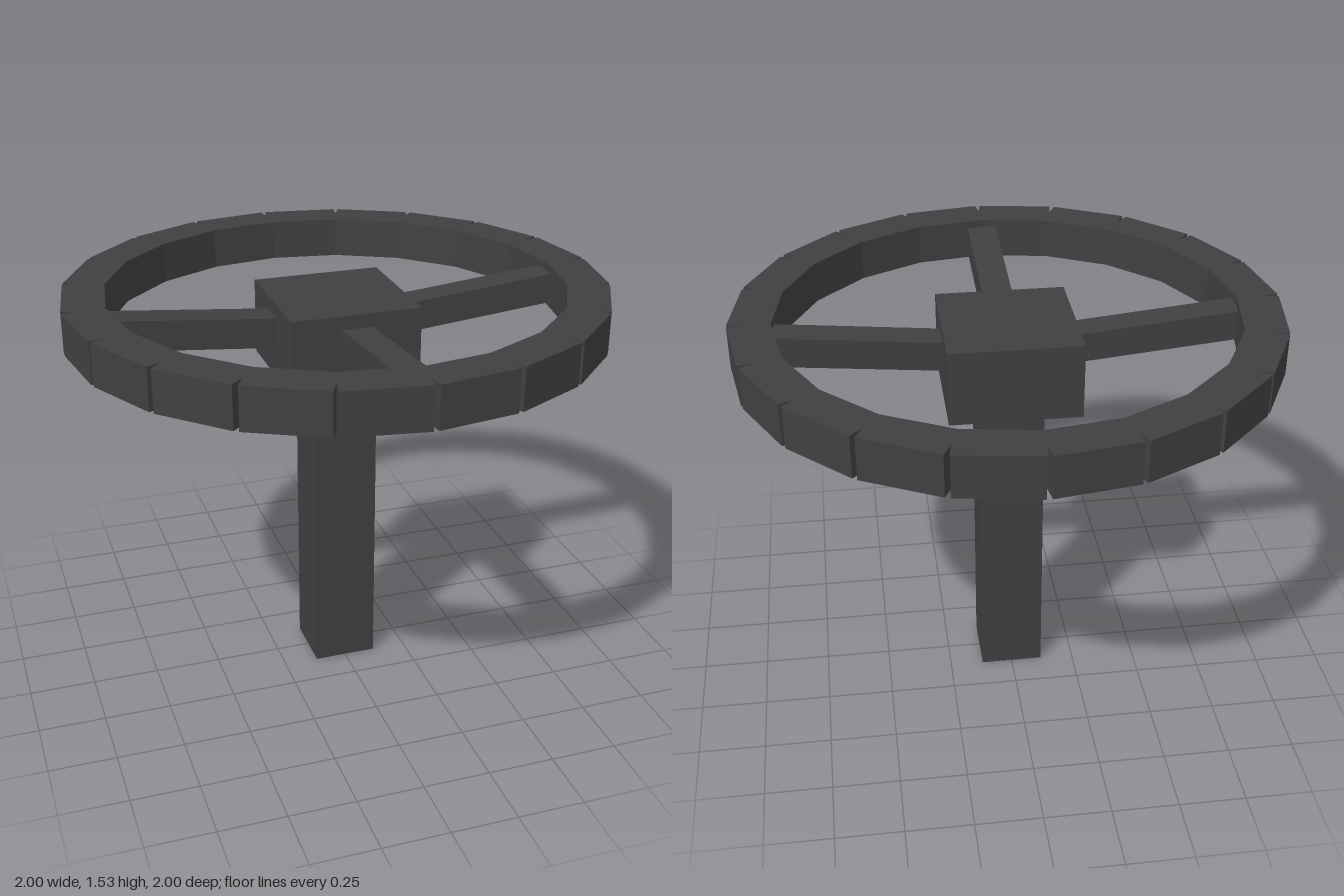
import * as THREE from 'three';

export function createModel() {
  const model = new THREE.Group();
  const dark = new THREE.MeshStandardMaterial({ color: 0x404042, flatShading: true });

  const addBox = (parent, name, w, h, d, x, y, z) => {
    const mesh = new THREE.Mesh(new THREE.BoxGeometry(w, h, d), dark);
    mesh.name = name;
    mesh.position.set(x, y, z);
    parent.add(mesh);
    return mesh;
  };

  // Square column and the hub block on top of it
  addBox(model, 'column', 0.24, 1.22, 0.24, 0, 0.61, 0);
  addBox(model, 'hub', 0.486, 0.285, 0.486, 0, 1.3575, 0);

  // Rim: a ring of straight blocks that overlap inside and leave notches outside
  const rim = new THREE.Group();
  rim.name = 'rim';
  model.add(rim);
  const SEGMENTS = 20, INNER = 0.834, OUTER = 0.989;
  for (let i = 0; i < SEGMENTS; i++) {
    const angle = ((i + 0.5) / SEGMENTS) * Math.PI * 2;
    const r = (INNER + OUTER) / 2;
    const block = addBox(rim, 'rimSegment', 0.294, 0.155, OUTER - INNER,
      Math.sin(angle) * r, 1.4575, Math.cos(angle) * r);
    block.rotation.y = angle;
  }

  // Spokes rise slightly from the hub to the rim: left, right and front
  const spokes = { leftSpoke: Math.PI / 2, rightSpoke: -Math.PI / 2, frontSpoke: 0 };
  for (const [name, angle] of Object.entries(spokes)) {
    const arm = new THREE.Group();
    arm.name = name;
    arm.rotation.y = angle;
    model.add(arm);
    const bar = addBox(arm, name + 'Bar', 0.115, 0.112, 0.7, 0, 1.421, 0.54);
    bar.rotation.x = -0.094;
  }

  return model;
}
